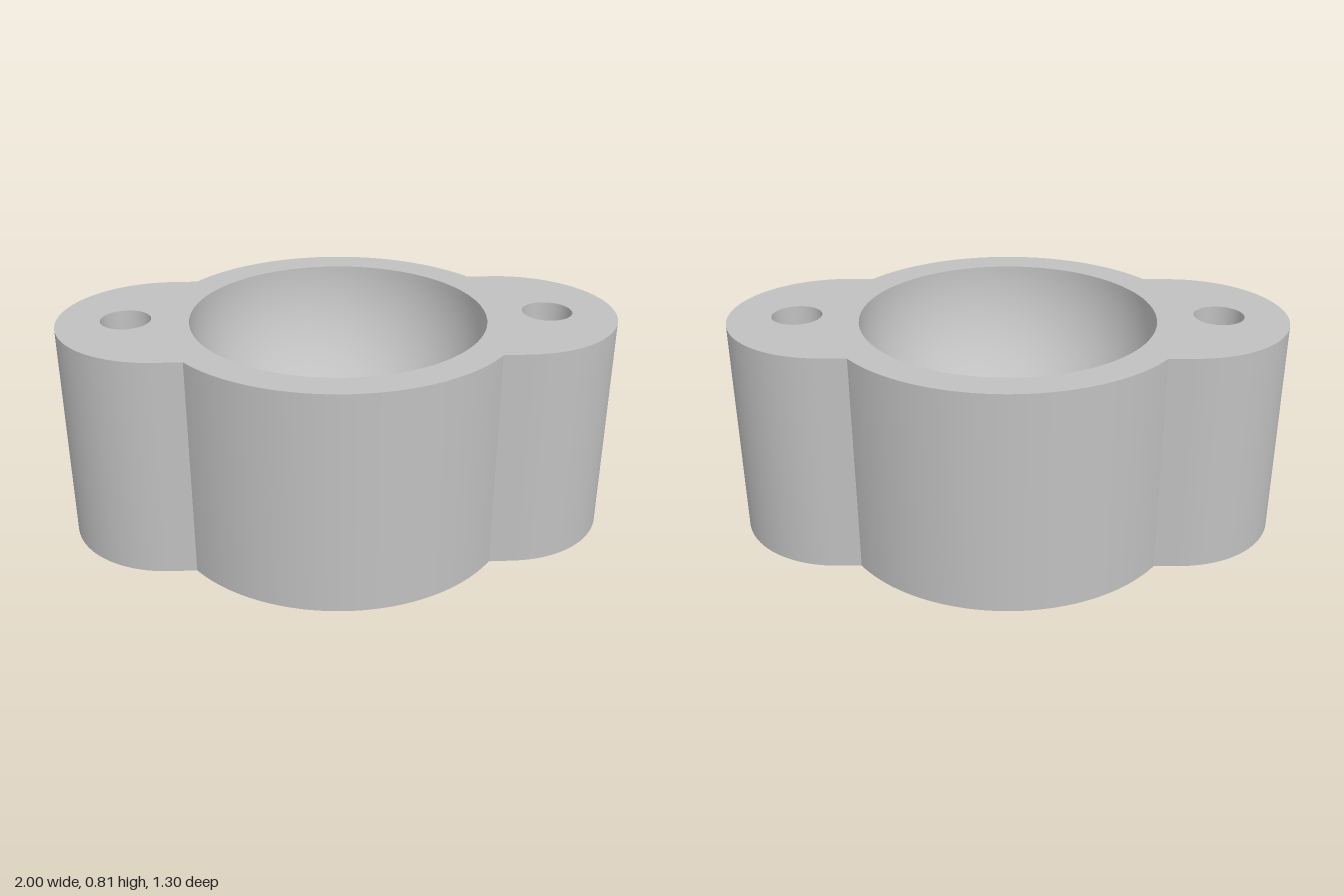
import * as THREE from 'three';

const H = 0.815;          // height
const R = 0.65;           // round body radius
const LUG = 0.382;        // lug end radius and half width
const LUG_X = 1 - LUG;    // lug centre
const BOWL = 0.53;        // hemispherical socket radius
const HOLE = 0.09, HOLE_X = 0.755;
const NOTCH_X = Math.sqrt(R * R - LUG * LUG);  // where the body meets a lug

export function createModel() {
  const group = new THREE.Group();
  const grey = new THREE.MeshStandardMaterial({ color: 0xc0c0c0 });
  grey.name = 'grey';

  const add = (name, geometry, x = 0, y = 0, z = 0) => {
    const mesh = new THREE.Mesh(geometry, grey);
    mesh.name = name;
    mesh.position.set(x, y, z);
    group.add(mesh);
    return mesh;
  };

  // Upright curved wall; inward walls run from top to bottom
  const wall = (r, start, length, segments, inward = false) => {
    const points = [new THREE.Vector2(r, 0), new THREE.Vector2(r, H)];
    if (inward) points.reverse();
    return new THREE.LatheGeometry(points, segments, start, length);
  };

  // Plan outline with the two bolt holes
  const outline = () => {
    const t = Math.atan2(LUG, NOTCH_X);
    const shape = new THREE.Shape();
    shape.absarc(LUG_X, 0, LUG, -Math.PI / 2, Math.PI / 2);
    shape.absarc(0, 0, R, t, Math.PI - t);
    shape.absarc(-LUG_X, 0, LUG, Math.PI / 2, Math.PI * 1.5);
    shape.absarc(0, 0, R, Math.PI + t, Math.PI * 2 - t);
    for (const s of [-1, 1]) {
      shape.holes.push(new THREE.Path().absarc(s * HOLE_X, 0, HOLE, 0, Math.PI * 2, true));
    }
    return shape;
  };

  // Top face, open over the socket, and closed underside
  const top = outline();
  top.holes.push(new THREE.Path().absarc(0, 0, BOWL, 0, Math.PI * 2, true));
  add('topFace', new THREE.ShapeGeometry(top, 48).rotateX(-Math.PI / 2), 0, H);
  add('underside', new THREE.ShapeGeometry(outline(), 48).rotateX(Math.PI / 2));

  // Body walls, front and back
  const half = Math.atan2(NOTCH_X, LUG);
  add('bodyFront', wall(R, -half, 2 * half, 48));
  add('bodyBack', wall(R, Math.PI - half, 2 * half, 48));

  // Lugs: rounded end, short flat sides and bolt hole
  const flat = LUG_X - NOTCH_X;
  for (const s of [-1, 1]) {
    const side = s > 0 ? 'left' : 'right';
    add(side + 'LugEnd', wall(LUG, s > 0 ? 0 : Math.PI, Math.PI, 48), s * LUG_X);
    add(side + 'BoltHole', wall(HOLE, 0, Math.PI * 2, 48, true), s * HOLE_X);
    for (const f of [-1, 1]) {
      const plane = new THREE.PlaneGeometry(flat, H);
      if (f < 0) plane.rotateY(Math.PI);
      add(side + 'LugFlat', plane, s * (NOTCH_X + flat / 2), H / 2, f * LUG);
    }
  }

  // Hemispherical socket, profile from rim to bottom
  const profile = [];
  for (let i = 0; i <= 32; i++) {
    const a = (i / 32) * Math.PI / 2;
    profile.push(new THREE.Vector2(BOWL * Math.cos(a), -BOWL * Math.sin(a)));
  }
  add('socket', new THREE.LatheGeometry(profile, 96), 0, H);

  return group;
}
